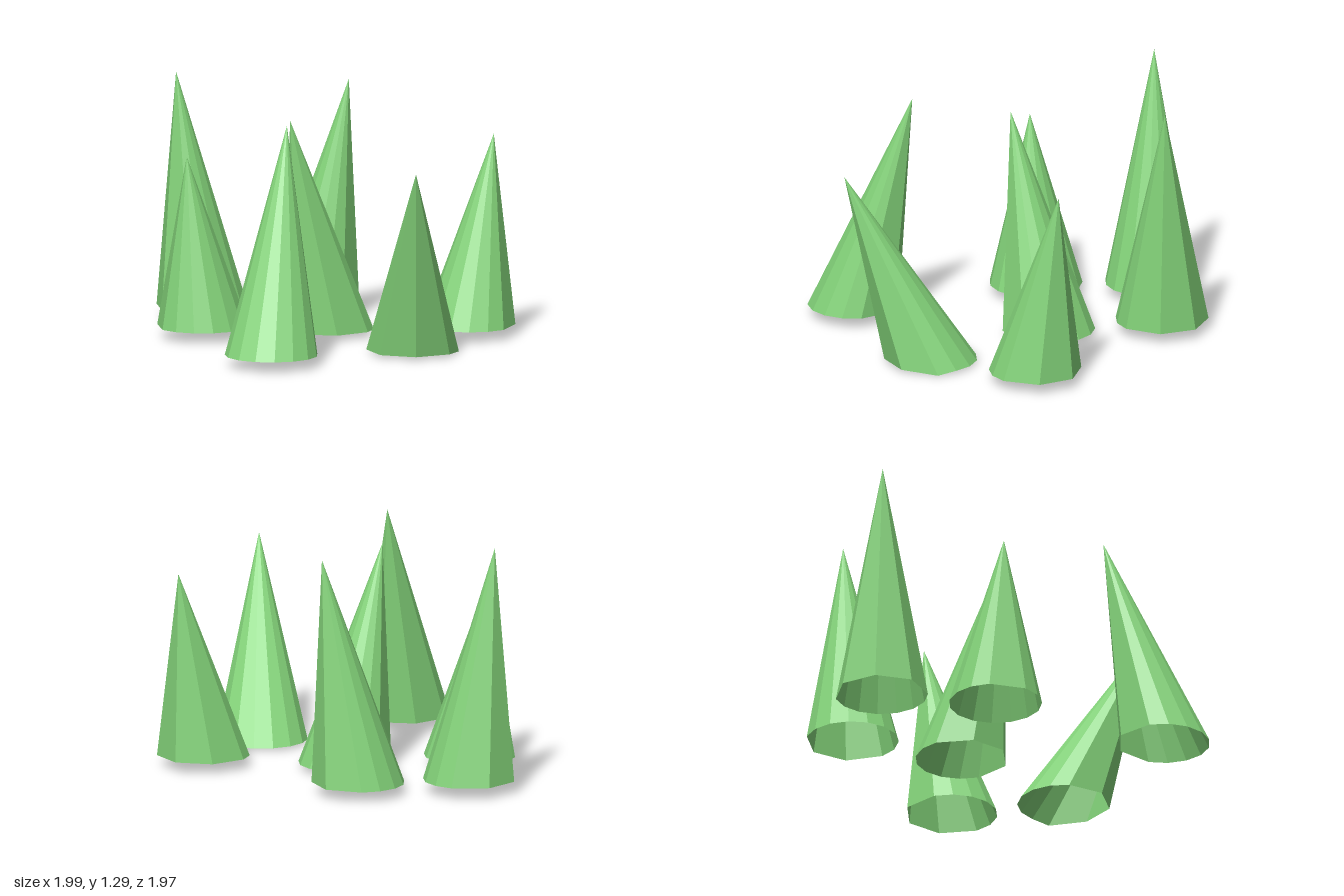
import * as THREE from 'three';

const RADIUS = 0.242;
const material = new THREE.MeshStandardMaterial({ color: 0x84d47a, flatShading: true, side: THREE.DoubleSide });

// base: [x, y, z] of the rim centre, tip: [x, y, z],
// start: angle of the first wide side, wide: number of 48 degree sides (the rest are 24),
// dip: how far the first rim corner sags
const trees = [
  { base: [-0.76, 0.06, -0.405], tip: [-0.88, 1.29, -0.35], start: 70, wide: 4 },
  { base: [-0.457, 0.053, 0.112], tip: [-0.51, 0.95, 0.18], start: 118, wide: 1 },
  { base: [-0.293, 0.055, -0.75], tip: [-0.14, 1.24, -0.86], start: -125, wide: 3 },
  { base: [0.067, 0.028, -0.28], tip: [0, 1.15, -0.01], start: 0, wide: 4 },
  { base: [0.322, 0.055, 0.743], tip: [0.24, 1.21, 0.44], start: -184, wide: 3 },
  { base: [0.73, 0.055, -0.6], tip: [0.78, 1.04, -0.77], start: 180, wide: 4 },
  { base: [0.752, 0.015, 0.02], tip: [0.99, 1.01, 0.4], start: -40, wide: 4, dip: 0.015 },
];

// Leaning, open-bottomed cone with wider facets on the side the tip leans to
function leaningCone({ base, tip, start, wide, dip = 0 }) {
  const rim = [];
  for (let turned = 0, i = 0; turned < 360; turned += i < wide ? 48 : 24, i++) {
    const a = THREE.MathUtils.degToRad(start + turned);
    rim.push([
      base[0] + RADIUS * Math.cos(a),
      base[1] - (i === 0 ? dip : 0),
      base[2] + RADIUS * Math.sin(a),
    ]);
  }
  const positions = [];
  rim.forEach((corner, i) => {
    positions.push(...tip, ...rim[(i + 1) % rim.length], ...corner);
  });
  const geometry = new THREE.BufferGeometry();
  geometry.setAttribute('position', new THREE.Float32BufferAttribute(positions, 3));
  geometry.computeVertexNormals();
  return geometry;
}

export function createModel() {
  const group = new THREE.Group();
  group.name = 'coneCluster';
  trees.forEach((tree, i) => {
    const mesh = new THREE.Mesh(leaningCone(tree), material);
    mesh.name = `leaningCone${i + 1}`;
    group.add(mesh);
  });
  return group;
}
